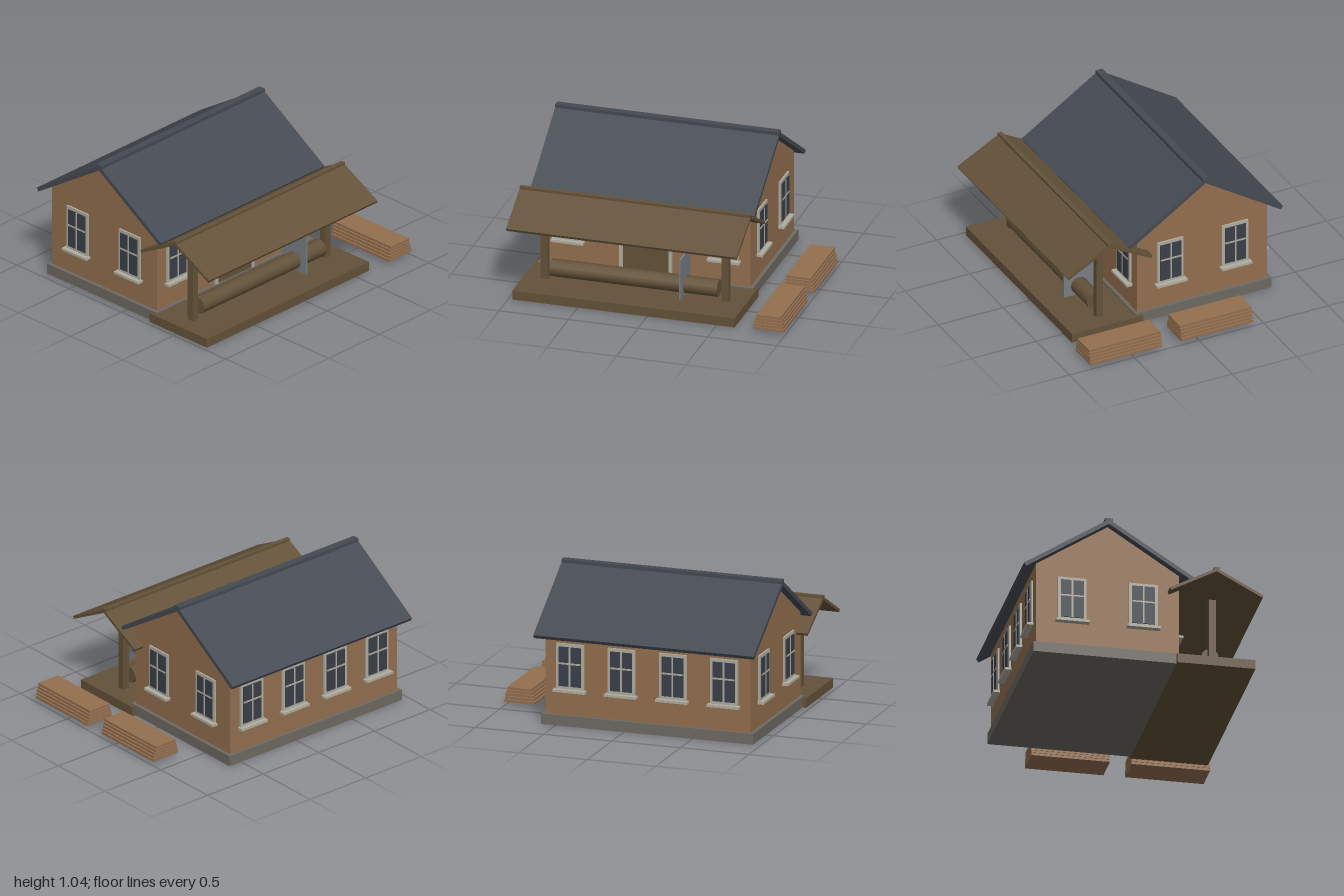
import * as THREE from 'three';

const mat = (name, color) => {
  const m = new THREE.MeshStandardMaterial({ color });
  m.name = name;
  return m;
};

export function createModel() {
  const clay = mat('warm wall brown', 0x946f4f);
  const slate = mat('slate roof', 0x454a52);
  const timber = mat('dark timber', 0x645239);
  const stone = mat('foundation stone', 0x6e6a63);
  const trim = mat('pale trim', 0xb0ac9f);
  const glass = mat('window glass', 0x3a4049);
  const steel = mat('steel', 0x797e84);

  const model = new THREE.Group();
  model.name = 'workshopHouse';
  const CX = -0.17; // centre line of the house
  const CZ = -0.24; // main ridge line

  const add = (parent, name, geometry, material, x = 0, y = 0, z = 0) => {
    const mesh = new THREE.Mesh(geometry, material);
    mesh.name = name;
    mesh.position.set(x, y, z);
    parent.add(mesh);
    return mesh;
  };
  // Box given by its minimum and maximum corners
  const block = (parent, name, material, x0, x1, y0, y1, z0, z1) =>
    add(parent, name, new THREE.BoxGeometry(x1 - x0, y1 - y0, z1 - z0), material,
      (x0 + x1) / 2, (y0 + y1) / 2, (z0 + z1) / 2);
  // Cross-section in (z, y), extruded along x and centred on x = 0
  const profileAlongX = (points, length) => {
    const shape = new THREE.Shape(points.map(([z, y]) => new THREE.Vector2(z, y)));
    return new THREE.ExtrudeGeometry(shape, { depth: length, bevelEnabled: false })
      .translate(0, 0, -length / 2)
      .rotateY(-Math.PI / 2);
  };

  // Foundation, platform and gabled walls
  block(model, 'foundation', stone, -0.945, 0.605, 0.001, 0.077, -0.765, 0.285);
  block(model, 'porchPlatform', timber, -0.97, 0.63, 0, 0.067, 0.24, 0.79);
  add(model, 'walls', profileAlongX(
    [[-0.503, 0.07], [0.503, 0.07], [0.503, 0.675], [0, 1.0], [-0.503, 0.675]], 1.5), clay, CX, 0, CZ);

  // Pitched roof: two square-ended slabs and a ridge cap
  function roof(name, material, { z, apex, halfSpan, slope, thickness, length, capWidth, capTop }) {
    const group = new THREE.Group();
    group.name = name;
    group.position.set(CX, 0, z);
    const a = Math.atan(slope);
    const eave = apex - halfSpan * slope;
    for (const s of [1, -1]) {
      const section = [
        [0, apex],
        [s * halfSpan, eave],
        [s * (halfSpan - thickness * Math.sin(a)), eave - thickness * Math.cos(a)],
        [0, apex - thickness / Math.cos(a)],
      ];
      add(group, s > 0 ? 'frontSlope' : 'backSlope', profileAlongX(section, length), material);
    }
    block(group, 'ridgeCap', material, -length / 2, length / 2,
      capTop - 0.03, capTop, -capWidth / 2, capWidth / 2);
    model.add(group);
  }
  roof('mainRoof', slate, {
    z: CZ, apex: 1.035, halfSpan: 0.597, slope: 0.643, thickness: 0.029,
    length: 1.61, capWidth: 0.052, capTop: 1.043,
  });
  roof('porchRoof', timber, {
    z: 0.512, apex: 0.725, halfSpan: 0.33, slope: 0.535, thickness: 0.021,
    length: 1.66, capWidth: 0.034, capTop: 0.733,
  });

  // Window facing +z, with its back on z = 0
  function windowUnit(x, z, turn) {
    const w = new THREE.Group();
    w.name = 'window';
    block(w, 'frame', trim, -0.101, 0.101, 0.262, 0.588, -0.005, 0.013);
    block(w, 'pane', glass, -0.08, 0.08, 0.285, 0.566, 0.013, 0.02);
    block(w, 'uprightBar', trim, -0.006, 0.006, 0.285, 0.566, 0.015, 0.023);
    block(w, 'crossBar', trim, -0.08, 0.08, 0.442, 0.454, 0.015, 0.023);
    block(w, 'sill', trim, -0.117, 0.117, 0.246, 0.264, -0.005, 0.045);
    w.position.set(x, 0, z);
    w.rotation.y = turn;
    model.add(w);
  }
  for (const x of [-0.73, 0.395]) windowUnit(x, 0.263, 0);
  for (const x of [-0.73, -0.355, 0.02, 0.395]) windowUnit(x, -0.743, Math.PI);
  for (const z of [0.01, -0.49]) {
    windowUnit(0.58, z, Math.PI / 2);
    windowUnit(-0.92, z, -Math.PI / 2);
  }

  // Wide door with a trim surround
  const door = new THREE.Group();
  door.name = 'door';
  block(door, 'doorPanel', timber, -0.167, 0.167, 0.077, 0.575, 0.255, 0.277);
  for (const s of [-1, 1]) {
    add(door, 'doorJamb', new THREE.BoxGeometry(0.025, 0.525, 0.03), trim, s * 0.1775, 0.3395, 0.27);
  }
  block(door, 'doorLintel', trim, -0.19, 0.19, 0.575, 0.602, 0.255, 0.285);
  door.position.x = CX;
  model.add(door);

  // Porch posts
  for (const s of [-1, 1]) {
    add(model, 'porchPost', new THREE.BoxGeometry(0.05, 0.49, 0.05), timber, CX + s * 0.652, 0.309, 0.512);
  }

  // Log lying under the porch, with an upright steel blade
  add(model, 'log', new THREE.CylinderGeometry(0.062, 0.062, 1.205, 12).rotateZ(Math.PI / 2),
    timber, CX, 0.153, 0.512);
  block(model, 'sawBlade', steel, 0.177, 0.191, 0.078, 0.378, 0.4, 0.627);

  // Stacks of sawn boards, narrowing upward
  for (const z of [0.56, -0.143]) {
    const stack = new THREE.Group();
    stack.name = 'boardStack';
    for (let i = 0; i < 5; i++) {
      add(stack, 'board', new THREE.BoxGeometry(0.222 - i * 0.0115, 0.018, 0.552), clay,
        0, 0.038 + i * 0.0227, 0);
    }
    stack.position.set(0.887, 0, z);
    model.add(stack);
  }

  return model;
}
